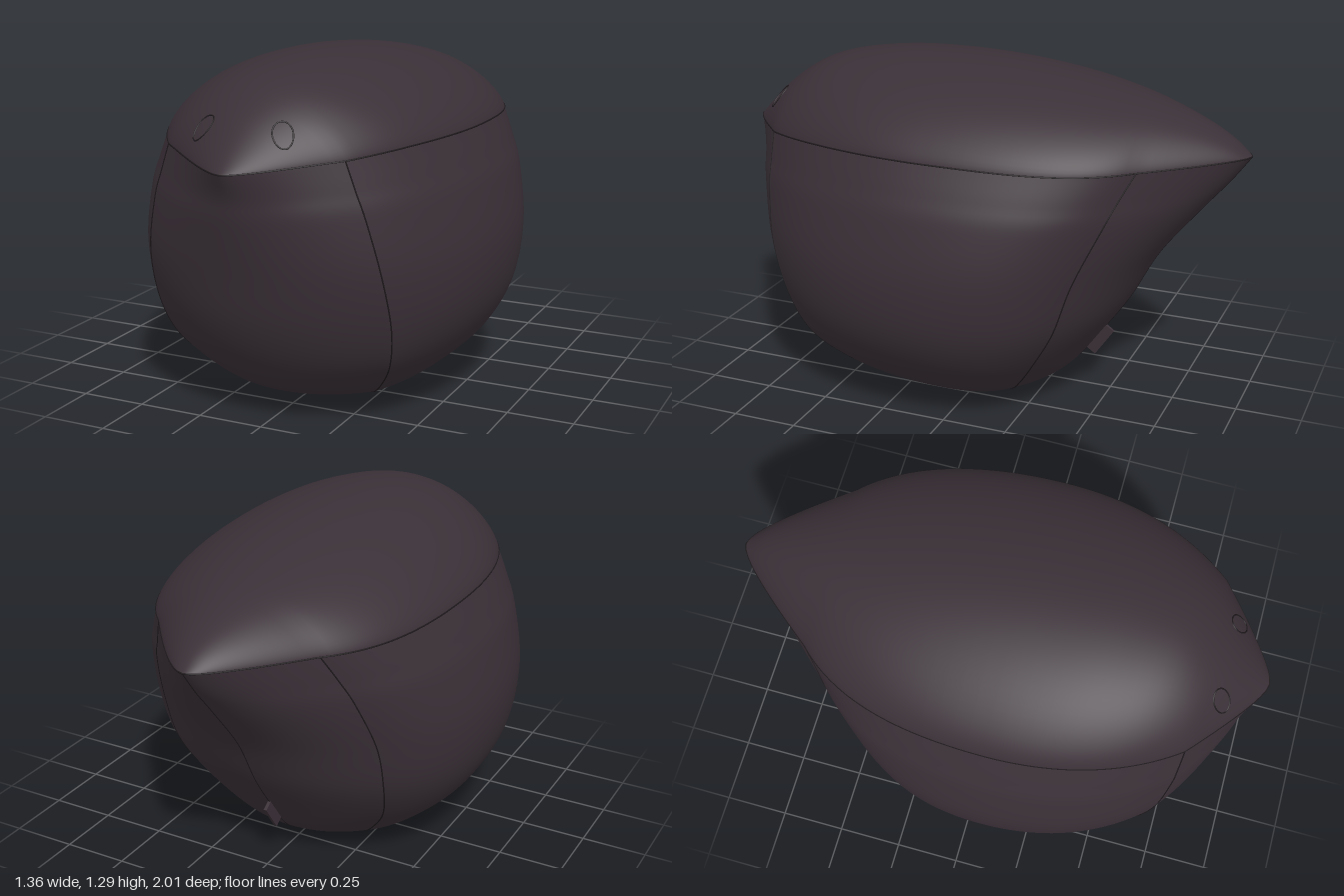
import * as THREE from 'three';

// Body levels: y, front z, front roundness, front seam x z, side x z, back seam x z, back roundness, back z
const LEVELS = [
  [0, 0.26, 0.55, 0.16, 0.19, 0.23, 0.05, 0.16, -0.09, 0.55, -0.16],
  [0.05, 0.51, 0.55, 0.27, 0.39, 0.345, 0.06, 0.25, -0.18, 0.55, -0.28],
  [0.12, 0.65, 0.55, 0.35, 0.49, 0.45, 0.07, 0.32, -0.24, 0.55, -0.37],
  [0.24, 0.755, 0.55, 0.43, 0.59, 0.575, 0.08, 0.4, -0.32, 0.55, -0.46],
  [0.4, 0.835, 0.55, 0.465, 0.66, 0.658, 0.08, 0.445, -0.41, 0.55, -0.57],
  [0.6, 0.89, 0.55, 0.455, 0.72, 0.682, 0.08, 0.45, -0.48, 0.5, -0.68],
  [0.8, 0.94, 0.45, 0.41, 0.75, 0.645, 0.08, 0.41, -0.57, 0.4, -0.84],
  [0.9, 0.96, 0.35, 0.375, 0.757, 0.605, 0.08, 0.37, -0.615, 0.3, -0.925],
  [1, 1, 0.18, 0.34, 0.76, 0.555, 0.08, 0.325, -0.665, 0.2, -1],
];
// Side profiles as [z, y]: rim seam and crown of the top
const RIM = [[-1, 1.01], [-0.5, 1.005], [0, 1.02], [0.5, 1.02], [0.76, 1.0], [1, 0.968]];
const CROWN = [[-1, 1.01], [-0.93, 1.065], [-0.77, 1.14], [-0.5, 1.215], [-0.18, 1.27],
  [0.17, 1.293], [0.46, 1.28], [0.68, 1.23], [0.81, 1.15], [0.93, 1.04], [1, 0.968]];

const profile = (pts) => {
  const f = new THREE.CubicInterpolant(pts.map((p) => p[0]), pts.map((p) => p[1]), 1);
  return (z) => f.evaluate(z)[0];
};
const rimY = profile(RIM), crownY = profile(CROWN);
const levelAt = new THREE.CubicInterpolant(LEVELS.map((_, i) => i), LEVELS.flat(), 11);

// Left half of a horizontal section, split at the seams
function section(v) {
  const [y, zf, cf, xs, zs, w, zw, xb, zb, cb, zt] = levelAt.evaluate(v * (LEVELS.length - 1));
  const arc = (x0, z0, cx, cz, x1, z1) =>
    new THREE.QuadraticBezierCurve(new THREE.Vector2(x0, z0), new THREE.Vector2(cx, cz), new THREE.Vector2(x1, z1))
      .getPoints(16).map((p) => new THREE.Vector3(p.x, y * rimY(p.y), p.y));
  const sideFront = arc(xs, zs, w, zw + (zs - zw) * 0.6, w, zw);
  const sideBack = arc(w, zw, w, zw + (zb - zw) * 0.7, xb, zb);
  return {
    front: arc(0, zf, cf * xs, zf, xs, zs),
    side: [...sideFront, ...sideBack.slice(1)],
    back: arc(xb, zb, cb * xb, zt, 0, zt),
  };
}
const mirror = (pts) => pts.map((p) => new THREE.Vector3(-p.x, p.y, p.z)).reverse();

// Surface through equal rows of points
function surface(rows) {
  const n = rows[0].length, index = [];
  for (let r = 0; r < rows.length - 1; r++) {
    for (let c = 0; c < n - 1; c++) {
      const a = r * n + c, b = a + 1, d = a + n, e = d + 1;
      index.push(a, b, d, b, e, d);
    }
  }
  const g = new THREE.BufferGeometry().setFromPoints(rows.flat());
  g.setIndex(index);
  g.computeVertexNormals();
  return g;
}

export function createModel() {
  const fabric = new THREE.MeshStandardMaterial({ color: 0x3a3037 });
  fabric.name = 'dark plum fabric';
  const thread = new THREE.MeshStandardMaterial({ color: 0x1e191c });
  thread.name = 'seam thread';

  const model = new THREE.Group();
  model.name = 'beanBagSeat';
  const add = (name, geometry, material = fabric) => {
    const mesh = new THREE.Mesh(geometry, material);
    mesh.name = name;
    model.add(mesh);
    return mesh;
  };
  const seam = (name, pts, closed = false, radius = 0.003) =>
    add(name, new THREE.TubeGeometry(new THREE.CatmullRomCurve3(pts, closed), 160, radius, 5, closed), thread);

  // Body panels
  const sections = Array.from({ length: 49 }, (_, i) => section(i / 48));
  add('frontPanel', surface(sections.map((s) => [...mirror(s.front), ...s.front.slice(1)])));
  add('backPanel', surface(sections.map((s) => [...s.back, ...mirror(s.back).slice(1)])));
  add('leftPanel', surface(sections.map((s) => s.side)));
  add('rightPanel', surface(sections.map((s) => mirror(s.side))));

  // Flat base
  const halfLoop = (s) => [...s.front, ...s.side.slice(1), ...s.back.slice(1)];
  const fullLoop = (s) => [...halfLoop(s), ...mirror(halfLoop(s)).slice(1, -1)];
  const base = new THREE.Shape(fullLoop(sections[0]).map((p) => new THREE.Vector2(p.x, p.z)));
  add('base', new THREE.ShapeGeometry(base).rotateX(Math.PI / 2));

  // Domed top, spanning the rim from side to side
  const rim = halfLoop(sections[48]);
  const topY = (z, cos) => rimY(z) + Math.max(0, crownY(z) - rimY(z)) * Math.pow(Math.max(0, cos), 1.45);
  add('topPanel', surface(rim.map((p) => Array.from({ length: 41 }, (_, i) => {
    const a = (i / 40 - 0.5) * Math.PI;
    return new THREE.Vector3(p.x * Math.sin(a), topY(p.z, Math.cos(a)), p.z);
  }))));

  // Seams
  seam('rimSeam', fullLoop(sections[48]), true);
  seam('baseSeam', fullLoop(sections[0]).map((p) => p.setY(0.003)), true);
  seam('backCentreSeam', sections.map((s) => s.back[16]), false, 0.0025);
  for (const [side, sx] of [['left', 1], ['right', -1]]) {
    const flip = (p) => new THREE.Vector3(sx * p.x, Math.max(p.y, 0.003), p.z);
    seam(side + 'FrontSeam', sections.map((s) => flip(s.side[0])));
    seam(side + 'BackSeam', sections.map((s) => flip(s.back[0])));
  }

  // Eyelets lying on the front of the top
  const widthAt = (z) => {
    const i = rim.findIndex((p) => p.z < z);
    const a = rim[i - 1], b = rim[i];
    return a.x + (b.x - a.x) * (a.z - z) / (a.z - b.z);
  };
  for (const [side, sx] of [['left', 1], ['right', -1]]) {
    const ring = Array.from({ length: 24 }, (_, i) => {
      const a = i / 24 * Math.PI * 2;
      const x = 0.15 + 0.036 * Math.cos(a), z = 0.838 + 0.032 * Math.sin(a);
      const u = Math.min(1, x / widthAt(z));
      return new THREE.Vector3(sx * x, topY(z, Math.sqrt(1 - u * u)), z);
    });
    seam(side + 'Eyelet', ring, true);
  }

  // Small pull tab low on the back
  const tab = add('pullTab', new THREE.BoxGeometry(0.012, 0.13, 0.045));
  tab.position.set(0, 0.2, -0.452);
  tab.rotation.x = -0.6;
  return model;
}
